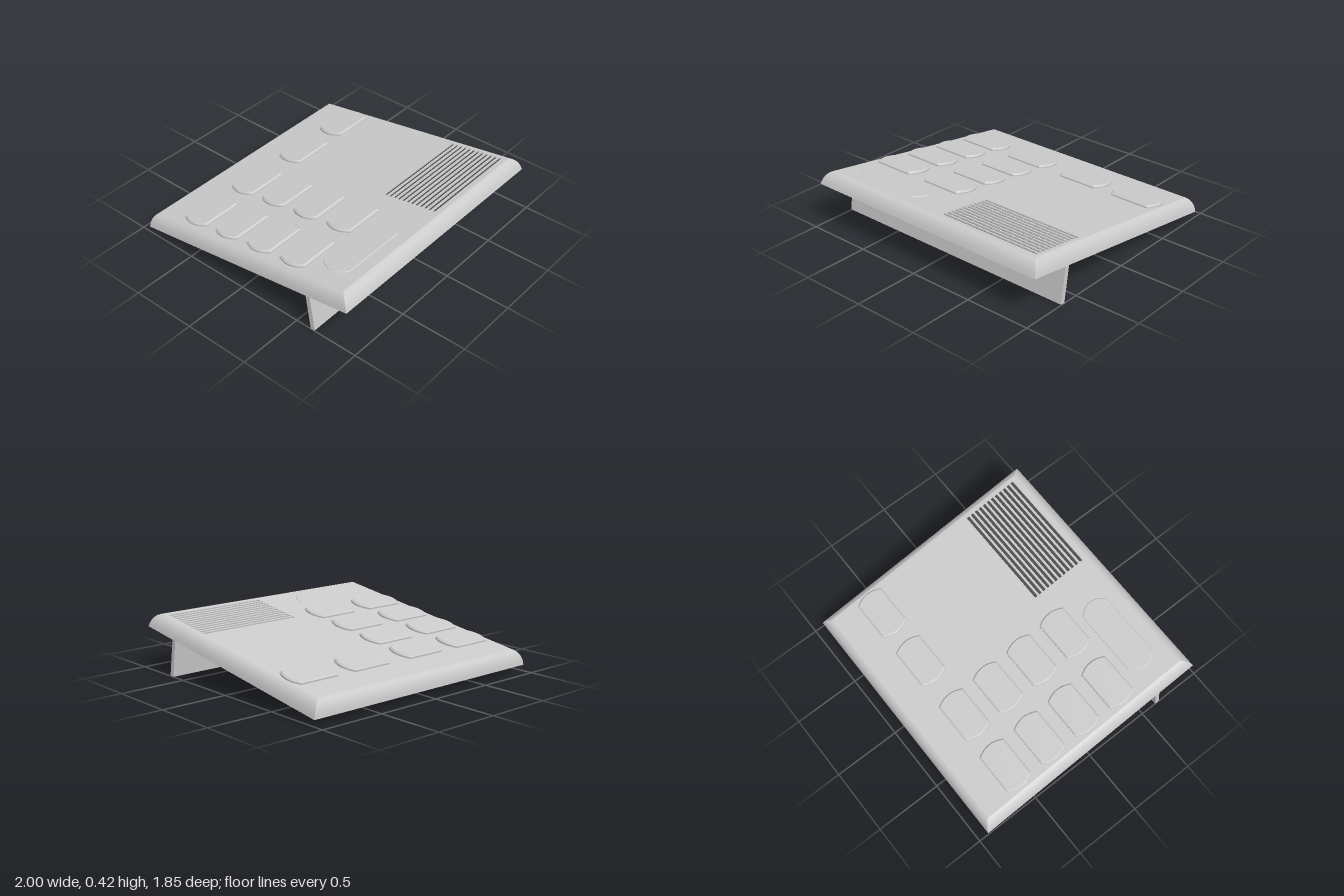
import * as THREE from 'three';

const HALF_X = 1, HALF_Z = 0.935, TOP = 0.107, INSET = 0.066;
const grey = new THREE.MeshStandardMaterial({ color: 0xcccccc });
const dark = new THREE.MeshStandardMaterial({ color: 0x4c4c4c });

function add(parent, name, geometry, material = grey) {
  const mesh = new THREE.Mesh(geometry, material);
  mesh.name = name;
  parent.add(mesh);
  return mesh;
}

// One rounded edge of the case, mitred at both corners
function rimSide(a, b) {
  const profile = new THREE.QuadraticBezierCurve(
    new THREE.Vector2(0, 0), new THREE.Vector2(0.014, 0.085), new THREE.Vector2(INSET, TOP)).getPoints(6);
  const pos = [], index = [];
  profile.forEach((p, i) => {
    for (const [sx, sz] of [a, b]) pos.push(sx * (HALF_X - p.x), p.y, sz * (HALF_Z - p.x));
    if (i > 0) {
      const k = 2 * i;
      index.push(k - 2, k - 1, k + 1, k - 2, k + 1, k);
    }
  });
  const g = new THREE.BufferGeometry();
  g.setAttribute('position', new THREE.Float32BufferAttribute(pos, 3));
  g.setIndex(index);
  g.computeVertexNormals();
  return g;
}

function rectangle(path, x0, x1, y0, y1) {
  path.moveTo(x0, y0).lineTo(x1, y0).lineTo(x1, y1).lineTo(x0, y1).closePath();
  return path;
}

// Key with straight long edges, bowed ends and a chamfered top
function keyGeometry(cornerX, endX, halfZ, height, chamfer) {
  const s = new THREE.Shape();
  s.moveTo(-cornerX, -halfZ);
  s.lineTo(cornerX, -halfZ);
  s.quadraticCurveTo(2 * endX - cornerX, 0, cornerX, halfZ);
  s.lineTo(-cornerX, halfZ);
  s.quadraticCurveTo(cornerX - 2 * endX, 0, -cornerX, -halfZ);
  const g = new THREE.ExtrudeGeometry(s, {
    depth: 0.025, curveSegments: 8, bevelSegments: 1,
    bevelThickness: chamfer, bevelSize: chamfer, bevelOffset: -chamfer,
  });
  g.rotateX(-Math.PI / 2);
  g.translate(0, TOP + height - 0.025 - chamfer, 0);
  return g;
}

export function createModel() {
  const model = new THREE.Group();
  model.name = 'keypadPanel';
  const panel = new THREE.Group();
  panel.name = 'tiltedPanel';
  panel.position.y = 0.182;
  panel.rotation.x = -0.1476;
  model.add(panel);

  // Case: rounded rim and flat underside
  const corners = [[-1, 1], [1, 1], [1, -1], [-1, -1]];
  corners.forEach((c, i) => add(panel, 'rim', rimSide(c, corners[(i + 1) % 4])));
  add(panel, 'underside', new THREE.PlaneGeometry(2 * HALF_X, 2 * HALF_Z).rotateX(Math.PI / 2));

  // Top plate pierced by the speaker slots
  const plateX = HALF_X - INSET, plateZ = HALF_Z - INSET, plateDepth = 0.03;
  const plate = rectangle(new THREE.Shape(), -plateX, plateX, -plateZ, plateZ);
  for (let i = 0; i < 12; i++) {
    const z = 0.395 + i * 0.038;
    plate.holes.push(rectangle(new THREE.Path(), 0.09, 0.905, -z - 0.011, -z + 0.011));
  }
  const plateGeo = new THREE.ExtrudeGeometry(plate, { depth: plateDepth, bevelEnabled: false });
  plateGeo.rotateX(-Math.PI / 2).translate(0, TOP - plateDepth, 0);
  add(panel, 'topPlate', plateGeo);
  add(panel, 'speakerBacking', new THREE.BoxGeometry(0.85, 0.02, 0.48), dark)
    .position.set(0.4975, TOP - 0.02, 0.604);

  // Keys: two columns of four, two more in the back row
  const keyGeo = keyGeometry(0.155, 0.19, 0.11, 0.022, 0.011);
  const rowZ = [-0.545, -0.237, 0.071, 0.379];
  rowZ.forEach((z, row) => {
    const columns = row === 0 ? [-0.725, -0.255, 0.26, 0.73] : [-0.725, -0.255];
    for (const x of columns) add(panel, 'key', keyGeo).position.set(x, 0, z);
  });
  add(panel, 'wideKey', keyGeometry(0.255, 0.31, 0.112, 0.005, 0.005)).position.set(-0.5, 0, 0.66);

  // Full-width stand below the raised front
  add(panel, 'stand', new THREE.BoxGeometry(2 * HALF_X, 0.272, 0.035)).position.set(0, -0.136, 0.607);
  return model;
}
